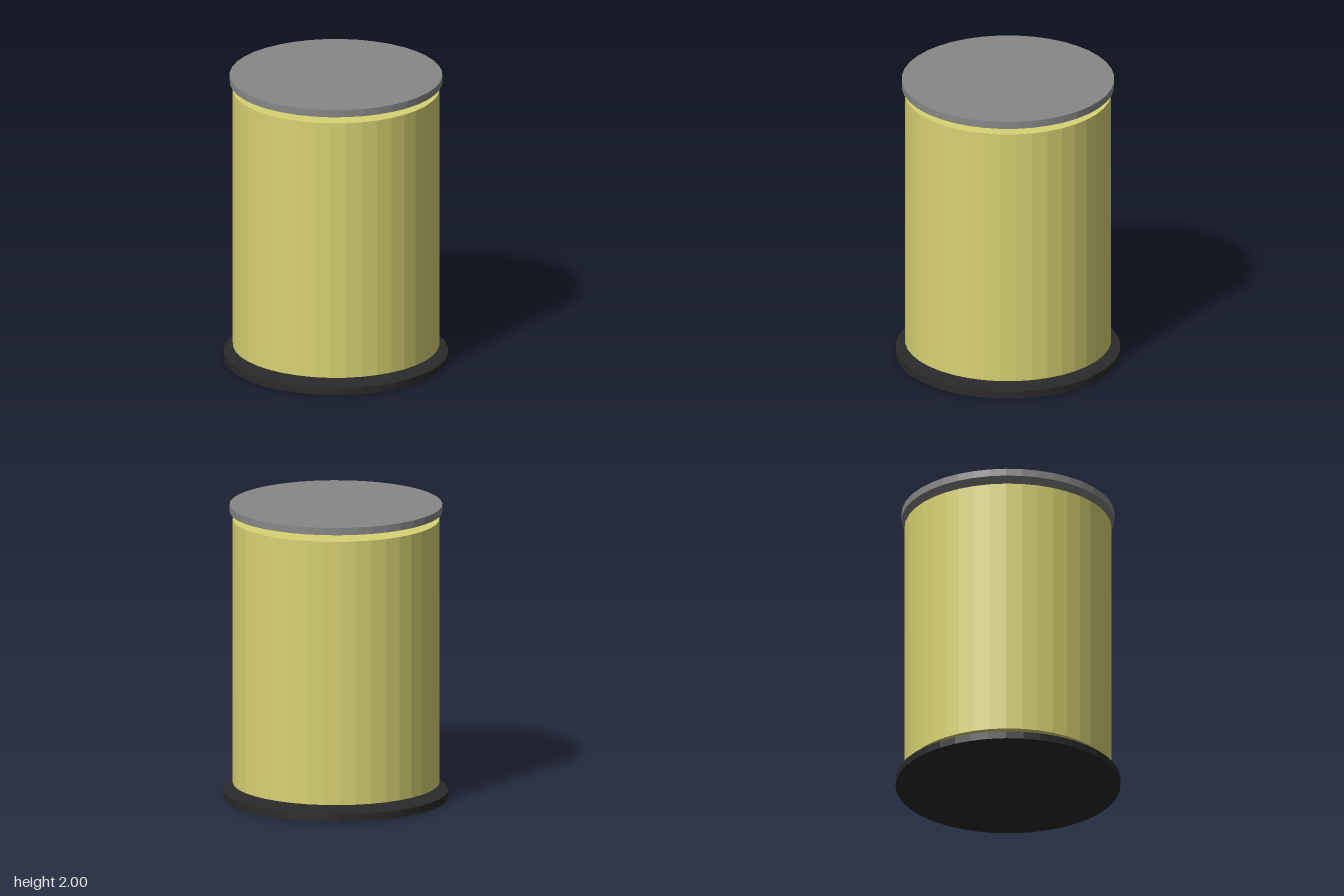
import * as THREE from 'three';

const SIDES = 40;

function material(name, color) {
  const m = new THREE.MeshStandardMaterial({ color, flatShading: true });
  m.name = name;
  return m;
}

// Upright cylinder spanning bottom..top
function disc(name, radius, bottom, top, mat) {
  const geometry = new THREE.CylinderGeometry(radius, radius, top - bottom, SIDES);
  geometry.translate(0, (bottom + top) / 2, 0);
  const mesh = new THREE.Mesh(geometry, mat);
  mesh.name = name;
  return mesh;
}

export function createModel() {
  const group = new THREE.Group();
  group.name = 'canister';

  const black = material('black', 0x2a2a2a);
  const grey = material('grey', 0x888888);
  const silver = material('silver', 0xc0c0c2);
  const yellow = material('yellow', 0xd8d373);

  group.add(
    disc('basePlate', 0.75, 0, 0.05, black),
    disc('core', 0.19, 0.002, 1.998, silver), // runs through the whole stack
    disc('body', 0.69, 0.1, 1.9, yellow),
    disc('topPlate', 0.71, 1.95, 2, grey)
  );
  return group;
}
